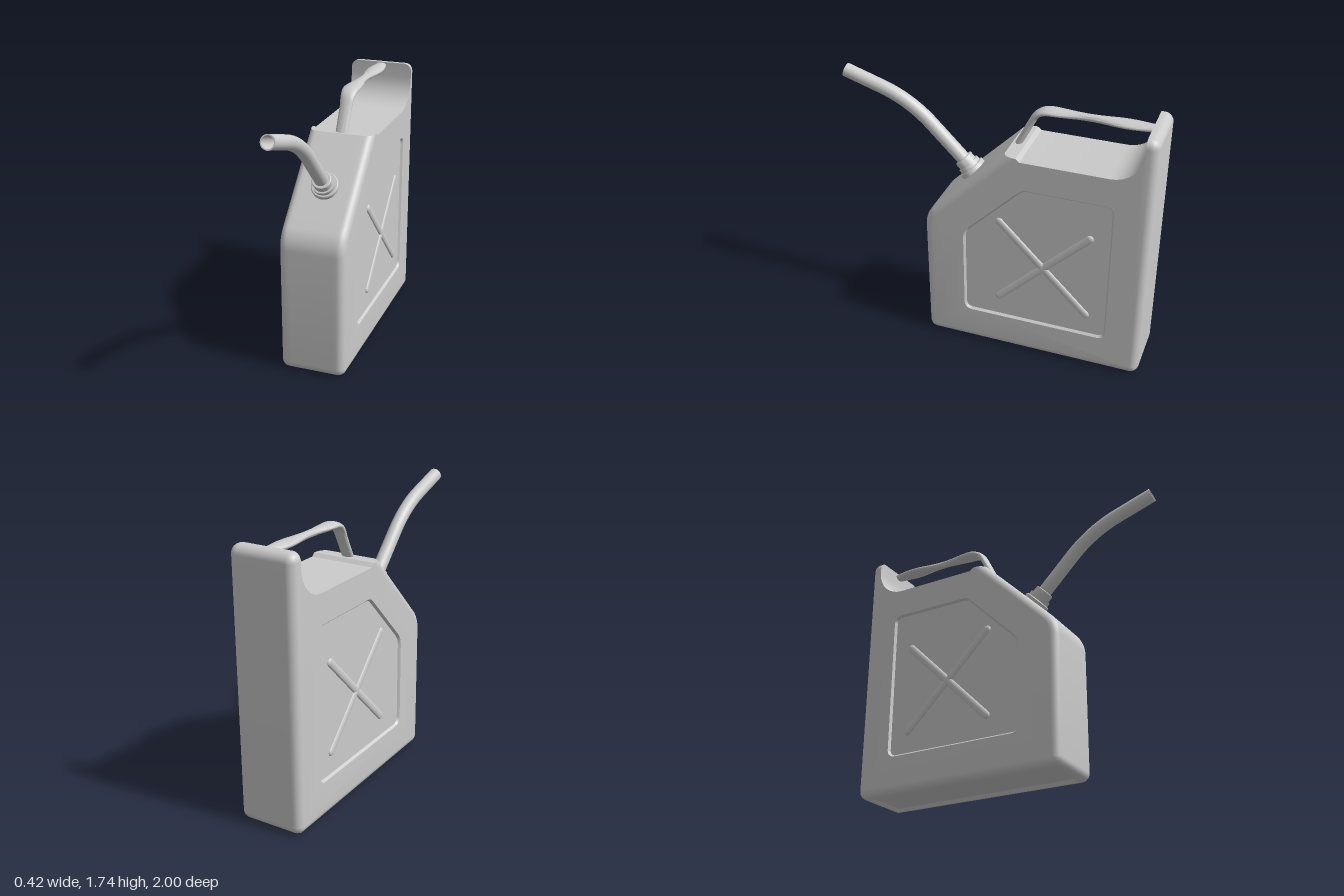
import * as THREE from 'three';
import { mergeGeometries, toCreasedNormals } from 'three/addons/utils/BufferGeometryUtils.js';

const W = 0.21, BEVEL = 0.05, DEPTH = 0.015;
const grey = new THREE.MeshStandardMaterial({ color: 0xcccccc });
const greyDouble = new THREE.MeshStandardMaterial({ color: 0xcccccc, side: THREE.DoubleSide });

// Rounds the corners of a (z, y) polygon; every point keeps its inset direction.
// Corner: [z, y, radius, fixed inset direction, lift]
function roundedOutline(corners, steps = 8) {
  const out = [];
  corners.forEach(([z, y, r, dir, lift = 0], i) => {
    const c = new THREE.Vector2(z, y);
    const toward = (k) => {
      const q = corners[(k + corners.length) % corners.length];
      return new THREE.Vector2(q[0], q[1]).sub(c).normalize();
    };
    if (!r) {
      out.push({ p: c, d: new THREE.Vector2(...dir), lift });
      return;
    }
    const u = toward(i - 1), v = toward(i + 1);
    const half = Math.acos(u.dot(v)) / 2;
    const t = r / Math.tan(half);
    const mid = u.clone().add(v).normalize().multiplyScalar(r / Math.sin(half)).add(c);
    const a0 = u.clone().multiplyScalar(t).add(c).sub(mid).angle();
    let da = v.clone().multiplyScalar(t).add(c).sub(mid).angle() - a0;
    da = Math.atan2(Math.sin(da), Math.cos(da));
    for (let k = 0; k <= steps; k++) {
      const a = a0 + da * k / steps;
      const n = new THREE.Vector2(Math.cos(a), Math.sin(a));
      out.push({
        p: n.clone().multiplyScalar(r).add(mid),
        d: dir ? new THREE.Vector2(...dir) : n.negate(), lift });
    }
  });
  return out;
}

const inset = (outline, s) => outline.map(({ p, d }) => p.clone().addScaledVector(d, s));
const ringAt = (points, x) => points.map((p) => [x, p.y, p.x]);

// Skin over closed rings of equal length
function loft(rings) {
  const n = rings[0].length, index = [];
  for (let i = 0; i < rings.length - 1; i++) {
    for (let j = 0; j < n; j++) {
      const a = i * n + j, b = i * n + (j + 1) % n;
      index.push(a, b, a + n, b, b + n, a + n);
    }
  }
  const g = new THREE.BufferGeometry();
  g.setAttribute('position', new THREE.Float32BufferAttribute(rings.flat(2), 3));
  g.setIndex(index);
  return g;
}

// Flat face on the -x side
function sideFace(points, x, hole) {
  const shape = new THREE.Shape(points);
  if (hole) shape.holes.push(new THREE.Path(hole));
  const g = new THREE.ShapeGeometry(shape);
  g.deleteAttribute('uv');
  g.deleteAttribute('normal');
  return g.rotateY(-Math.PI / 2).translate(x, 0, 0);
}

function mirrored(geometry) {
  const g = geometry.clone().scale(-1, 1, 1);
  g.setIndex(Array.from(geometry.index.array).reverse());
  return g;
}

function add(parent, name, geometry, material = grey) {
  const mesh = new THREE.Mesh(geometry, material);
  mesh.name = name;
  parent.add(mesh);
  return mesh;
}

function buildBody() {
  const up = [0, 1], none = [0, 0], lift = 0.02;
  const outline = roundedOutline([
    [-1, 0, 0.055],
    [-0.955, 0, 0, up], [-0.935, 0, 0, up, lift],
    [0.335, 0, 0, up, lift], [0.355, 0, 0, up],
    [0.415, 0, 0.055], [0.415, 0.9, 0.2],
    [-0.1, 1.415, 0, [-1.414, 0]], [-0.18, 1.415, 0, none], [-0.205, 1.395, 0, none],
    [-0.925, 1.395, 0.185, none], [-0.925, 1.67, 0, [0, -1]],
    [-1, 1.67, 0.055],
  ]);
  // Rounded edges, then the sunken floor between the bottom rims
  const layers = [];
  for (let k = 0; k <= 6; k++) {
    const a = k / 6 * Math.PI / 2;
    layers.push([W - BEVEL + BEVEL * Math.cos(a), BEVEL * (1 - Math.sin(a)), 0]);
  }
  layers.push([0.155, 0, 0], [0.14, 0, 1]);
  layers.push(...layers.map(([x, s, l]) => [-x, s, l]).reverse());
  const skin = loft(layers.map(([x, s, l]) =>
    ringAt(inset(outline, s), x).map(([px, y, z], i) => [px, y + outline[i].lift * l, z])));

  // Side faces with a recessed panel
  const panel = roundedOutline([
    [0.155, 0.235, 0.05], [0.155, 0.835, 0.12], [-0.22, 1.21, 0.08],
    [-0.78, 1.21, 0.05], [-0.78, 0.235, 0.05],
  ]);
  const rim = inset(panel, 0), floor = inset(panel, 0.012);
  const sides = [
    sideFace(inset(outline, BEVEL), -W, rim),
    loft([ringAt(rim, -W), ringAt(floor, -W + DEPTH)]),
    sideFace(floor, -W + DEPTH),
  ];
  const parts = [skin, ...sides, ...sides.map(mirrored)].map((g) => g.toNonIndexed());
  return toCreasedNormals(mergeGeometries(parts), 0.6);
}

// Path in the x = 0 plane: straight, bend, straight; points are [z, y]
function bentPath(a, b, control, c, d) {
  const [A, B, Q, C, D] = [a, b, control, c, d].map(([z, y]) => new THREE.Vector3(0, y, z));
  const path = new THREE.CurvePath();
  path.add(new THREE.LineCurve3(A, B));
  path.add(new THREE.QuadraticBezierCurve3(B, Q, C));
  path.add(new THREE.LineCurve3(C, D));
  return path;
}

// Oval bar whose width swells twice along the grip
function buildHandle() {
  const path = bentPath([-0.12, 1.385], [-0.222, 1.585], [-0.253, 1.645], [-0.33, 1.645], [-0.94, 1.645]);
  const rings = [], side = new THREE.Vector3(1, 0, 0);
  for (let i = 0; i <= 70; i++) {
    const p = path.getPointAt(i / 70);
    const n = path.getTangentAt(i / 70).cross(side).normalize();
    const wave = 0.04 + 0.014 * Math.cos((p.z + 0.32) * 2 * Math.PI / 0.46);
    const rx = p.z > -0.32 ? Math.max(wave, 0.04) : wave;
    rings.push(Array.from({ length: 24 }, (_, k) => {
      const a = k / 24 * 2 * Math.PI;
      return p.clone().addScaledVector(side, rx * Math.cos(a))
        .addScaledVector(n, 0.021 * Math.sin(a)).toArray();
    }));
  }
  return toCreasedNormals(loft(rings), 0.9);
}

function buildSpout() {
  const group = new THREE.Group();
  group.name = 'spout';
  const path = bentPath([0.158, 1.158], [0.43, 1.43], [0.566, 1.566], [0.75, 1.625], [0.985, 1.7]);
  add(group, 'spoutTube', new THREE.TubeGeometry(path, 60, 0.043, 28));
  add(group, 'spoutBore', new THREE.TubeGeometry(path, 60, 0.036, 28), greyDouble);
  const lip = add(group, 'spoutLip', new THREE.RingGeometry(0.036, 0.043, 28), greyDouble);
  lip.position.copy(path.getPointAt(1));
  lip.lookAt(lip.position.clone().add(path.getTangentAt(1)));

  // Stepped screw collar standing on the slope
  const profile = [[0.085, -0.01], [0.085, 0.022], [0.08, 0.028], [0.071, 0.028], [0.071, 0.055],
    [0.06, 0.055], [0.06, 0.097], [0.056, 0.1], [0.042, 0.1]];
  const collar = add(group, 'spoutCollar', toCreasedNormals(
    new THREE.LatheGeometry(profile.map(([r, y]) => new THREE.Vector2(r, y)), 36), 0.6));
  collar.position.set(0, 1.158, 0.158);
  collar.rotation.x = Math.PI / 4;
  return group;
}

export function createModel() {
  const model = new THREE.Group();
  model.name = 'fuelCan';
  add(model, 'body', buildBody());
  add(model, 'handle', buildHandle());
  model.add(buildSpout());

  // Crossed ribs on both side panels
  for (const s of [-1, 1]) {
    for (const turn of [-1, 1]) {
      const rib = add(model, s > 0 ? 'leftRib' : 'rightRib', new THREE.CapsuleGeometry(0.025, 0.8, 8, 16));
      rib.position.set(s * (W - DEPTH), 0.67, -0.36);
      rib.rotation.x = turn * Math.PI / 4;
      rib.scale.x = 0.5;
    }
  }
  return model;
}
